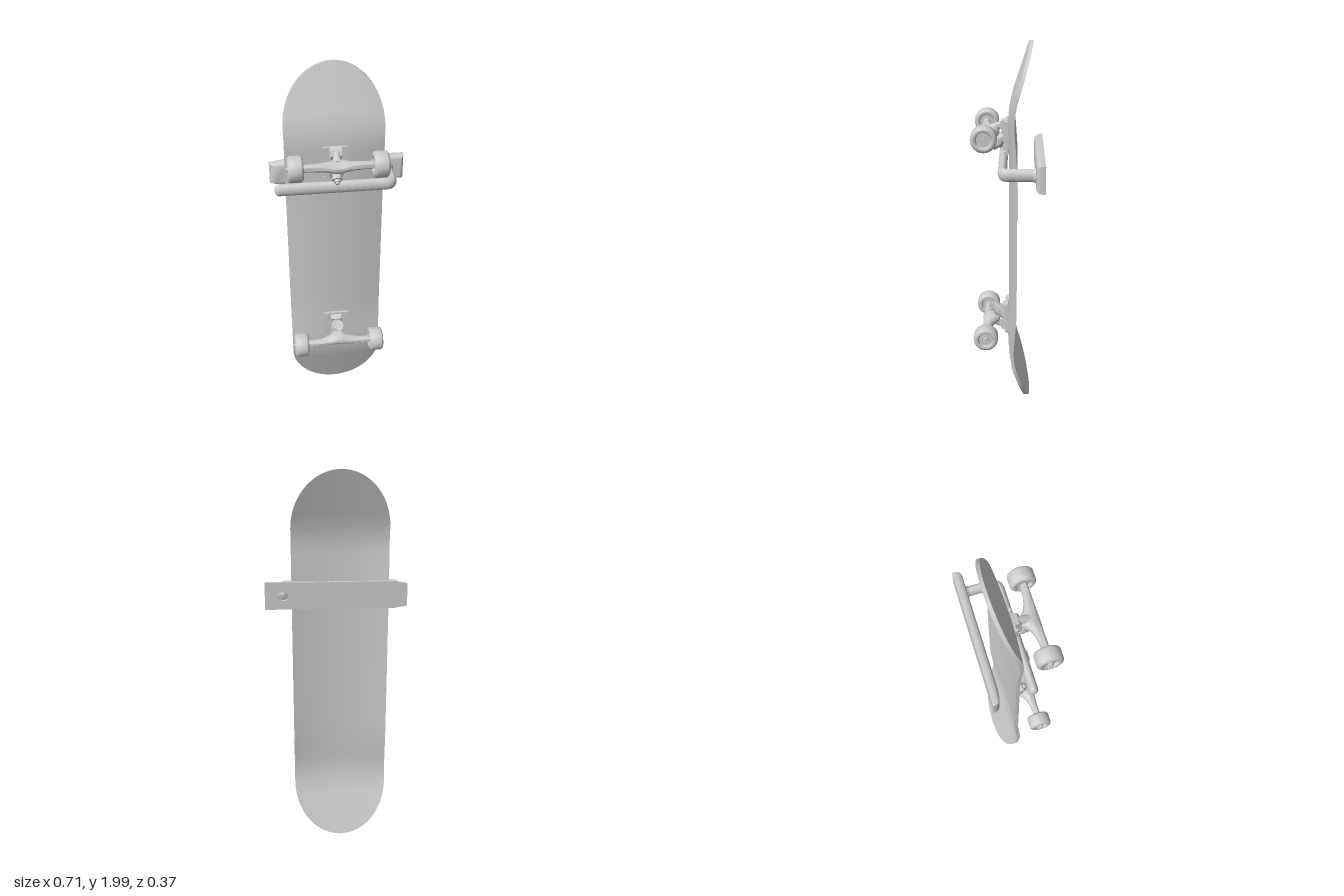
import * as THREE from 'three';
import { toCreasedNormals } from 'three/addons/utils/BufferGeometryUtils.js';

const mat = new THREE.MeshStandardMaterial({ color: 0xcccccc });
const CX = -0.03; // centre line of the board
const V = (x, y, z) => new THREE.Vector3(x, y, z);

function add(parent, name, geo, x = 0, y = 0, z = 0) {
  const m = new THREE.Mesh(geo, mat);
  m.name = name;
  m.position.set(x, y, z);
  parent.add(m);
  return m;
}

// Apply fn(vertex) to every vertex, then rebuild normals
function reshape(geo, fn, crease = 0.6) {
  const p = geo.attributes.position, v = V(0, 0, 0);
  for (let i = 0; i < p.count; i++) {
    fn(v.fromBufferAttribute(p, i));
    p.setXYZ(i, v.x, v.y, v.z);
  }
  return toCreasedNormals(geo, crease);
}

// Cylinder between two points
function rod(parent, name, a, b, r0, r1 = r0, sides = 24) {
  const d = b.clone().sub(a);
  const m = add(parent, name, toCreasedNormals(new THREE.CylinderGeometry(r1, r0, d.length(), sides), 0.7));
  m.position.copy(a).add(b).multiplyScalar(0.5);
  m.quaternion.setFromUnitVectors(V(0, 1, 0), d.normalize());
  return m;
}

// Front surface of the deck: kicked ends and raised rails
function deckZ(dx, y) {
  const e = Math.abs(y - 1);
  const k = Math.max(0, e - 0.58);
  const kick = k < 0.2 ? 0.9 * k * k : 0.036 + 0.33 * (k - 0.2);
  const mid = 1 - THREE.MathUtils.smoothstep(e, 0.35, 0.72);
  return -kick - 0.006 * mid - (0.012 + 0.014 * mid) * (dx / 0.25) ** 2;
}

function makeDeck() {
  return reshape(new THREE.BoxGeometry(2, 2, 1, 28, 96, 1), v => {
    const y = 1 + 0.9975 * Math.sin(v.y * Math.PI / 2);
    const t = Math.min(1, Math.max(0, (Math.abs(y - 1) - 0.7) / 0.2976));
    const dx = 0.25 * Math.sqrt(Math.max(0.0004, 1 - t * t)) * v.x;
    v.set(CX + dx, y, deckZ(dx, y) + (v.z < 0 ? -0.018 : 0));
  });
}

// Wheel with rounded tread and a recessed core, axis along x
function makeWheel() {
  const pts = [[0.022, 0.024], [0.036, 0.024], [0.041, 0.036], [0.047, 0.0385]];
  for (let i = 0; i <= 6; i++) {
    const a = (i / 6) * Math.PI / 2;
    pts.push([0.049 + 0.016 * Math.sin(a), 0.0225 + 0.016 * Math.cos(a)]);
  }
  const half = pts.map(([r, h]) => new THREE.Vector2(r, h));
  const other = pts.map(([r, h]) => new THREE.Vector2(r, -h)).reverse();
  const profile = [...half, ...other, half[0].clone()].reverse();
  return toCreasedNormals(new THREE.LatheGeometry(profile, 40).rotateZ(Math.PI / 2), 0.6);
}

// Hanger: oval tube along x that flares towards the deck in the middle
function makeHanger() {
  return reshape(new THREE.CylinderGeometry(1, 1, 0.35, 28, 40).rotateZ(Math.PI / 2), v => {
    const f = Math.exp(-Math.max(0, Math.abs(v.x) - 0.022) / 0.04);
    const back = 0.097 - 0.054 * f, front = 0.134 + 0.004 * f;
    v.z = (back + front) / 2 + v.z * (front - back) / 2 - 0.115;
    v.y = v.y * (0.019 + 0.012 * f) - 0.012 * f;
  }, 0.8);
}

// Truck around its axle; -y is the kingpin side, z measured from the axle
function makeTruck() {
  const g = new THREE.Group();
  const plate = new THREE.BoxGeometry(0.13, 0.175, 0.014);
  add(g, 'basePlate', plate, 0, -0.035, -0.113);

  // Sloped housing on the base plate
  const s = new THREE.Shape([[0, 0.055], [0.033, 0.047], [0.045, 0.02], [0.022, -0.02], [0.022, -0.07],
    [0.03, -0.095], [0, -0.12]].map(([z, y]) => new THREE.Vector2(z, y)));
  const housing = new THREE.ExtrudeGeometry(s, { depth: 0.066, bevelEnabled: false });
  housing.translate(0, 0, -0.033).rotateY(-Math.PI / 2);
  reshape(housing, v => { v.x *= 1 - 4.5 * Math.max(0, v.z); });
  add(g, 'plateHousing', housing, 0, 0, -0.115);

  add(g, 'hanger', makeHanger());
  rod(g, 'pivot', V(0, 0.03, -0.085), V(0, 0, -0.03), 0.015, 0.024);

  // Kingpin stack
  const at = t => V(0, -0.035 - 0.065 * t, -0.1 + 0.08 * t);
  rod(g, 'upperBushing', at(0), at(0.32), 0.03, 0.027);
  rod(g, 'hangerRing', at(0.32), at(0.55), 0.034);
  rod(g, 'lowerBushing', at(0.55), at(0.8), 0.028, 0.024);
  rod(g, 'washer', at(0.8), at(0.84), 0.026);
  rod(g, 'kingpinNut', at(0.84), at(0.96), 0.017, 0.017, 6);
  rod(g, 'kingpin', at(0.9), at(1.05), 0.009);

  rod(g, 'axle', V(-0.252, 0, 0), V(0.252, 0, 0), 0.008);
  for (const side of [-1, 1]) {
    add(g, 'wheel', makeWheel(), side * 0.2075, 0, 0);
    rod(g, 'bearing', V(side * 0.18, 0, 0), V(side * 0.234, 0, 0), 0.023);
    rod(g, 'axleNut', V(side * 0.23, 0, 0), V(side * 0.246, 0, 0), 0.014, 0.014, 6);
    for (const y of [-0.108, 0.045])
      rod(g, 'plateNut', V(side * 0.053, y, -0.112), V(side * 0.053, y, -0.1), 0.008, 0.008, 6);
  }
  return g;
}

// Wall plate with a screw hole; front edges rounded, long taper at the right end
function makeWallPlate() {
  const s = new THREE.Shape();
  s.moveTo(-0.354, -0.056);
  [[-0.29, -0.068], [0.351, -0.068], [0.351, 0.068], [-0.29, 0.068], [-0.354, 0.056]].forEach(p => s.lineTo(...p));
  s.closePath();
  const hole = new THREE.Path();
  hole.absarc(0.262, 0, 0.025, 0, Math.PI * 2, true);
  s.holes.push(hole);
  const geo = new THREE.ExtrudeGeometry(s, { depth: 1, steps: 10, bevelEnabled: false, curveSegments: 24 });
  return reshape(geo, v => {
    const t = Math.max(0, (v.z - 0.3) / 0.7);
    const inset = 1 - Math.sqrt(Math.max(0, 1 - t * t));
    const left = v.x < -0.28;
    if (Math.abs(v.y) > 0.05) v.y -= Math.sign(v.y) * 0.02 * inset;
    if (left) v.x += 0.075 * inset * (v.x < -0.3 ? 1 : 0.6);
    else if (v.x > 0.3) v.x -= 0.022 * inset;
    v.z *= 0.045;
  }, 0.7);
}

function makeHolder() {
  const g = new THREE.Group();
  const Y = 1.397;
  add(g, 'wallPlate', makeWallPlate(), 0, Y, -0.185);

  // Bent bar, oval in section
  const path = new THREE.CurvePath();
  path.add(new THREE.LineCurve3(V(-0.315, 0, 0.023), V(0.225, 0, 0.023)));
  path.add(new THREE.QuadraticBezierCurve3(V(0.225, 0, 0.023), V(0.263, 0, 0.023), V(0.263, 0, -0.015)));
  path.add(new THREE.LineCurve3(V(0.263, 0, -0.015), V(0.263, 0, -0.145)));
  const bar = add(g, 'bar', new THREE.TubeGeometry(path, 120, 0.0228, 24), 0, Y, 0);
  const end = add(g, 'barEnd', new THREE.SphereGeometry(0.0228, 24, 16), -0.315, Y, 0.023);
  bar.scale.y = end.scale.y = 1.4;

  // Flared foot of the bar, which also closes the screw hole
  const foot = [[0, 0], [0.03, 0], [0.03, 0.02], [0.026, 0.025], [0.0228, 0.035]].map(p => new THREE.Vector2(...p));
  const flare = add(g, 'barFoot', new THREE.LatheGeometry(foot, 32).rotateX(Math.PI / 2), 0.263, Y, -0.16);
  flare.scale.y = 1.35;
  rod(g, 'screw', V(0.262, Y, -0.162), V(0.262, Y, -0.172), 0.012, 0.009);
  return g;
}

export function createModel() {
  const model = new THREE.Group();
  model.name = 'wallMountedSkateboard';
  add(model, 'deck', makeDeck());

  // Trucks mirror each other, kingpins facing the middle
  for (const top of [true, false]) {
    const truck = makeTruck();
    truck.name = top ? 'upperTruck' : 'lowerTruck';
    truck.position.set(CX, top ? 1.555 : 0.46, 0.115);
    if (!top) truck.rotation.z = Math.PI;
    model.add(truck);

    // Bolt heads on the riding side
    for (const dx of [-0.045, 0.045]) for (const dy of [-0.108, 0.045]) {
      const y = truck.position.y + (top ? dy : -dy);
      const z = deckZ(dx, y) - 0.018;
      rod(model, 'deckBolt', V(CX + dx, y, z + 0.004), V(CX + dx, y, z - 0.002), 0.01, 0.008, 12);
    }
  }

  const holder = makeHolder();
  holder.name = 'wallHolder';
  model.add(holder);
  return model;
}
